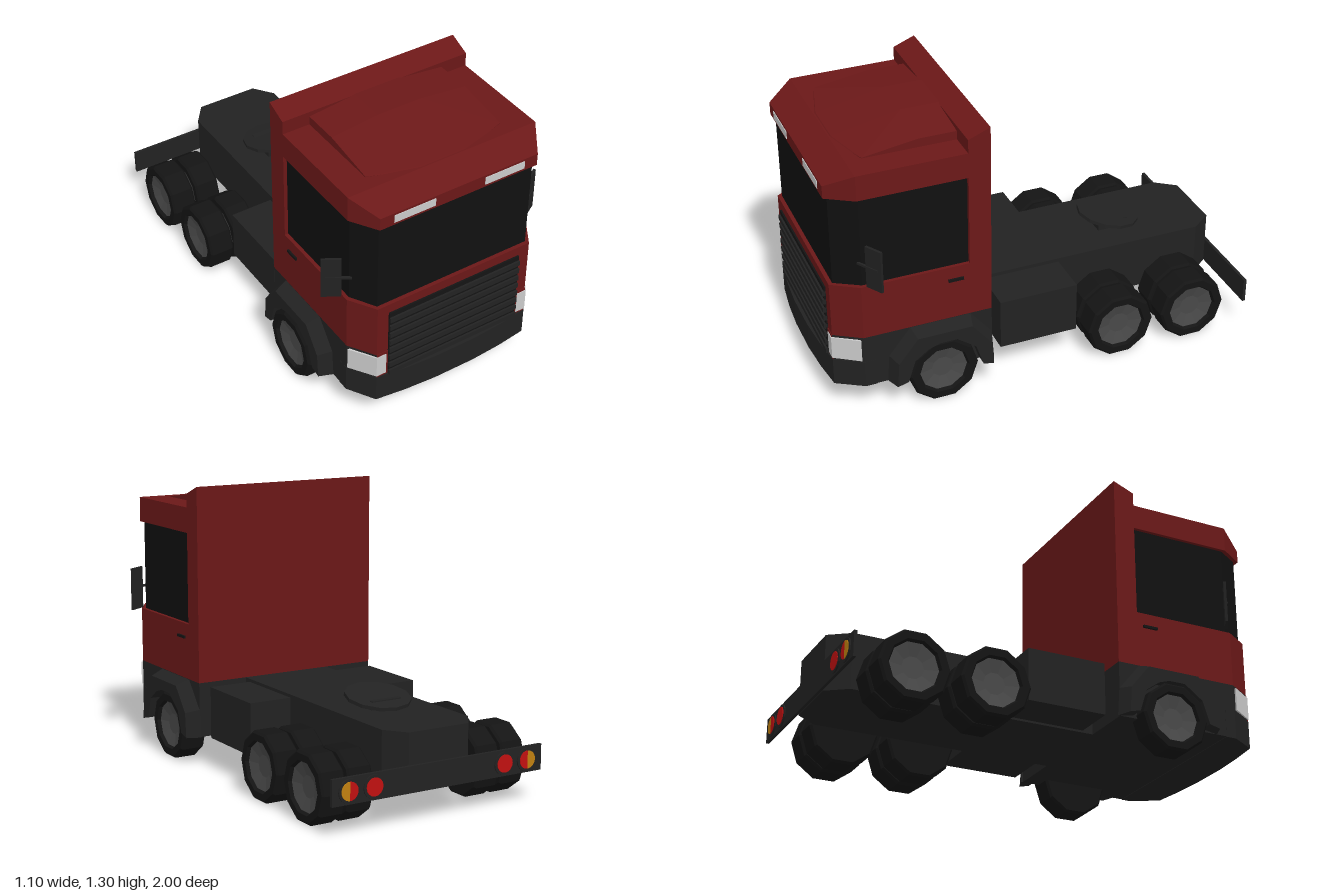
import * as THREE from 'three';
import { ConvexGeometry } from 'three/addons/geometries/ConvexGeometry.js';

const mat = (color) => new THREE.MeshStandardMaterial({ color, flatShading: true });
const M = {
  red: mat(0x6b1818), dark: mat(0x222222), tyre: mat(0x141414), glass: mat(0x101010),
  rim: mat(0x484848), lamp: mat(0xcccccc), tail: mat(0xc01010), amber: mat(0xc08010),
};

export function createModel() {
  const root = new THREE.Group();
  const add = (name, geometry, material, x = 0, y = 0, z = 0) => {
    const mesh = new THREE.Mesh(geometry, material);
    mesh.name = name;
    mesh.position.set(x, y, z);
    root.add(mesh);
    return mesh;
  };
  const box = (name, m, w, h, d, x, y, z) => add(name, new THREE.BoxGeometry(w, h, d), m, x, y, z);
  // Convex solid from corner points, mirrored across x
  const solid = (name, m, pts) => add(name, new ConvexGeometry(
    pts.flatMap(([x, y, z]) => [new THREE.Vector3(x, y, z), new THREE.Vector3(-x, y, z)])), m);
  // Upright symmetric prism from half a plan outline of [x, z]
  const prism = (name, m, plan, y0, y1) =>
    solid(name, m, plan.flatMap(([x, z]) => [[x, y0, z], [x, y1, z]]));

  // Chassis, tapered at the rear
  prism('chassis', M.dark, [[0.22, 0.3], [0.22, -0.88], [0.15, -0.975]], 0.14, 0.395);

  // Cab: skirt, bumper, lower body, glass band, rear wall and roof
  const plan = [[0.465, 0.26], [0.465, 0.85], [0.39, 0.968]];
  prism('cabSkirt', M.dark, plan, 0.14, 0.395);
  prism('frontBumper', M.dark, [[0.466, 0.8], [0.466, 0.85], [0.392, 0.972], [0.25, 0.99], [0.1, 1]], 0.138, 0.267);
  box('frontPanel', M.red, 0.78, 0.135, 0.05, 0, 0.33, 0.946);
  prism('cabLower', M.red, plan, 0.395, 0.655);
  prism('cabGlass', M.glass, [[0.448, 0.35], [0.448, 0.84], [0.382, 0.95]], 0.65, 1.085);
  solid('cabRearWall', M.red, [
    [0.465, 0.65, 0.26], [0.465, 0.65, 0.36], [0.465, 1.3, 0.26], [0.465, 1.26, 0.36]]);
  solid('roof', M.red, [
    [0.465, 1.08, 0.3], [0.465, 1.08, 0.85], [0.39, 1.08, 0.97],
    [0.465, 1.197, 0.3], [0.465, 1.197, 0.85], [0.39, 1.138, 0.97]]);
  solid('roofDome', M.red, [
    [0.335, 1.19, 0.35], [0.335, 1.19, 0.78], [0.11, 1.19, 0.85], [0.335, 1.2, 0.78], [0.11, 1.2, 0.84],
    [0.335, 1.237, 0.53], [0.335, 1.237, 0.35], [0.11, 1.262, 0.53], [0.11, 1.262, 0.35]]);

  // Grille with horizontal slats
  box('grille', M.tyre, 0.67, 0.345, 0.02, 0, 0.438, 0.966);
  for (let i = 0; i < 8; i++) box('grilleSlat', M.dark, 0.67, 0.024, 0.016, 0, 0.278 + i * 0.0425, 0.977);

  // Wheel: hollowed tyre with a dished rim on its outer side
  const V = (x, y) => new THREE.Vector2(x, y);
  const lathe = (pts) => new THREE.LatheGeometry(pts.map(([r, a]) => V(r, a)), 10).rotateZ(-Math.PI / 2);
  const tyreGeo = lathe([[0, -0.06], [0.15, -0.06], [0.16, -0.05], [0.16, 0.05], [0.15, 0.06], [0.118, 0.06], [0.11, 0.045]]);
  const rimGeo = lathe([[0.112, 0.045], [0.05, 0.03], [0, 0.03]]);
  const wheel = (x, z) => {
    const g = new THREE.Group();
    g.name = 'wheel';
    [['tyre', tyreGeo, M.tyre], ['rim', rimGeo, M.rim]].forEach(([name, geo, m]) => {
      const part = new THREE.Mesh(geo, m);
      part.name = name;
      g.add(part);
    });
    g.position.set(x, 0.153, z);
    if (x < 0) g.rotation.y = Math.PI;
    root.add(g);
  };
  for (const x of [-0.475, 0.447]) wheel(x, 0.5);
  for (const z of [-0.36, -0.725]) for (const x of [-0.475, -0.34, 0.313, 0.447]) wheel(x, z);

  // Fender: angular arch around the front wheel, its outer rim drawn in
  const arch = new THREE.Shape([
    V(0.25, 0.14), V(0.24, 0.27), V(0.14, 0.394), V(-0.14, 0.394), V(-0.24, 0.27), V(-0.25, 0.14)]);
  for (let i = 0; i <= 5; i++) {
    const a = Math.PI * (1 - i / 5);
    arch.lineTo(0.175 * Math.cos(a), 0.153 + 0.175 * Math.sin(a));
  }
  const fenderGeo = new THREE.ExtrudeGeometry(arch, { depth: 0.065, bevelEnabled: false });
  const p = fenderGeo.attributes.position;
  for (let i = 0; i < p.count; i++) {
    const u = p.getX(i), v = p.getY(i);
    if (p.getZ(i) > 0.03 && Math.hypot(u, v - 0.153) > 0.2) p.setXY(i, u * 0.9, 0.14 + (v - 0.14) * 0.9);
  }
  fenderGeo.computeVertexNormals();

  for (const s of [-1, 1]) {
    add('fender', fenderGeo, M.dark, s * 0.463, 0, 0.5).rotation.y = s * Math.PI / 2;

    // Wrap-around headlight and roof marker lamp
    const lampPts = [[0.345, 0.974], [0.393, 0.974], [0.468, 0.862], [0.345, 0.862]].flatMap(
      ([x, z]) => [new THREE.Vector3(s * x, 0.277, z), new THREE.Vector3(s * x, 0.384, z)]);
    add('headlight', new ConvexGeometry(lampPts), M.lamp);
    box('roofLamp', M.lamp, 0.2, 0.036, 0.01, s * 0.223, 1.11, 0.968);

    // Door handle and mirror
    box('doorHandle', M.tyre, 0.016, 0.012, 0.07, s * 0.466, 0.59, 0.425);
    box('mirror', M.dark, 0.085, 0.2, 0.012, s * 0.512, 0.765, 0.802).rotation.y = s * 0.55;
    box('mirrorArm', M.dark, 0.11, 0.01, 0.01, s * 0.488, 0.767, 0.823).rotation.y = s * 0.55;

    // Side tank
    box('sideTank', M.dark, 0.205, 0.24, 0.37, s * 0.3325, 0.265, 0.02);
    box('tankBracket', M.dark, 0.03, 0.12, 0.3, s * 0.223, 0.265, 0.02);

    // Tail lamps: inner red, outer split red and amber
    const disc = (name, m, r, x, z, start = 0, len = Math.PI * 2) => add(name,
      new THREE.CylinderGeometry(r, r, 0.008, 16, 1, false, start, len).rotateX(Math.PI / 2), m, s * x, 0.199, z);
    for (const x of [0.45, 0.33]) disc('tailLampHousing', M.dark, 0.052, x, -0.993);
    disc('tailLamp', M.tail, 0.04, 0.33, -0.996);
    disc('tailLamp', M.tail, 0.04, 0.45, -0.996, s > 0 ? Math.PI : 0, Math.PI);
    disc('turnLamp', M.amber, 0.04, 0.45, -0.996, s > 0 ? 0 : Math.PI, Math.PI);
  }
  box('rearBumper', M.dark, 1.06, 0.115, 0.014, 0, 0.199, -0.984);

  // Coupling plate tilted on its base
  box('couplingBase', M.dark, 0.15, 0.05, 0.15, 0, 0.41, -0.515);
  add('couplingPlate', new THREE.CylinderGeometry(0.148, 0.148, 0.016, 12), M.dark, 0, 0.435, -0.52)
    .rotation.x = -0.185;

  return root;
}
